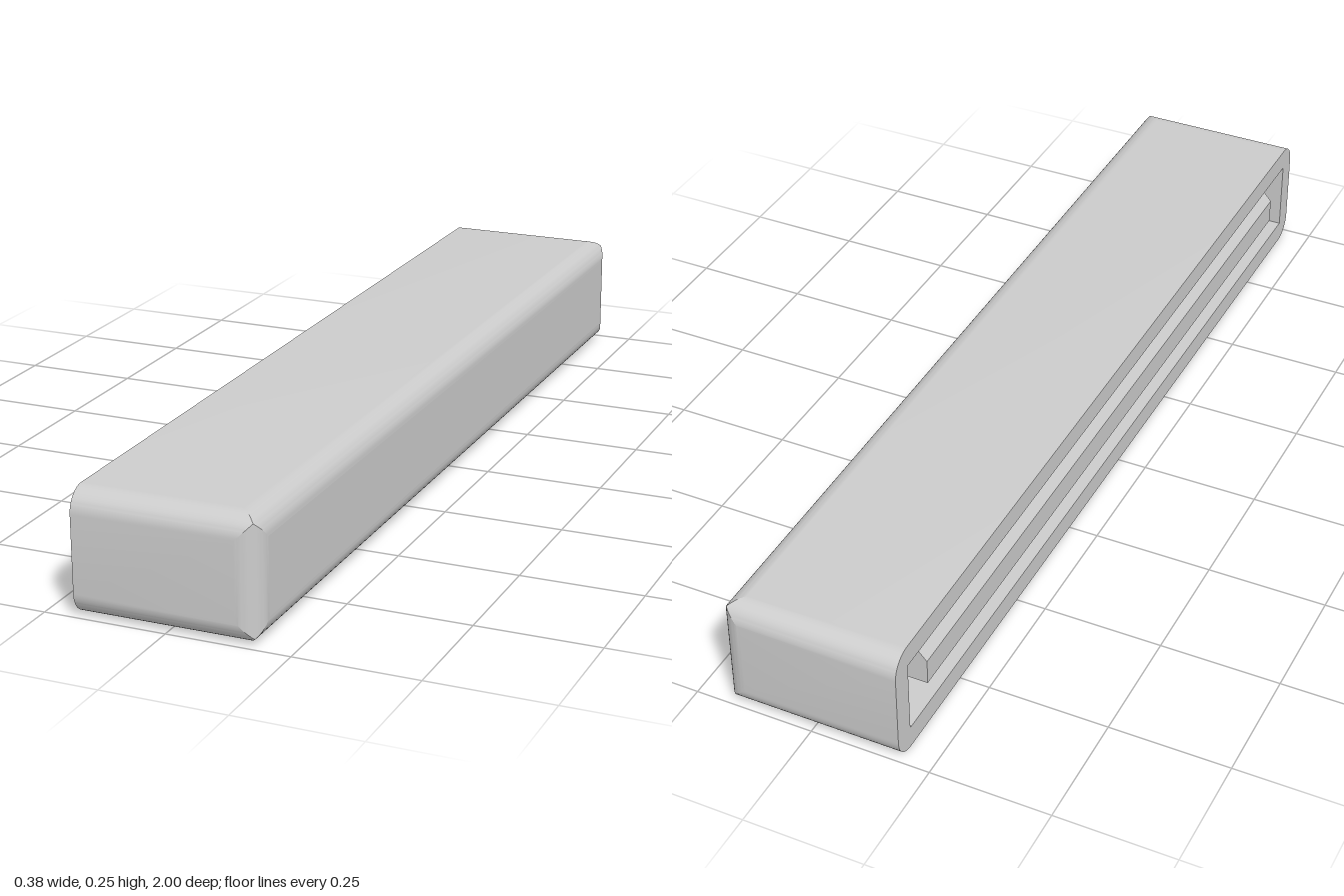
import * as THREE from 'three';
import { toCreasedNormals } from 'three/addons/utils/BufferGeometryUtils.js';

const HX = 0.1875, HY = 0.125, HZ = 1; // half sizes
const R = 0.047;                       // fillet radius, also the wall thickness
const N = 12;                          // segments per fillet

const material = new THREE.MeshStandardMaterial({ color: 0xcccccc });

// Rectangular loop at x; its corner arcs are clipped to reach w past the inner corners
function loop(x, w) {
  const points = [];
  [[1, 1], [-1, 1], [-1, -1], [1, -1]].forEach(([sy, sz], q) => {
    for (let j = 0; j <= N; j++) {
      const t = (q + j / N) * Math.PI / 2;
      points.push([
        x,
        HY + sy * (HY - R) + THREE.MathUtils.clamp(R * Math.cos(t), -w, w),
        sz * (HZ - R) + THREE.MathUtils.clamp(R * Math.sin(t), -w, w),
      ]);
    }
  });
  return points;
}

// Skin the loops; the quad diagonals follow the mitred corner creases
function loft(loops) {
  const pos = [];
  const count = loops[0].length;
  for (let i = 0; i < loops.length - 1; i++) {
    for (let j = 0; j < count; j++) {
      const k = (j + 1) % count;
      const a = loops[i][j], b = loops[i][k], c = loops[i + 1][k], d = loops[i + 1][j];
      if (j % (N + 1) < N / 2) pos.push(...a, ...b, ...c, ...a, ...c, ...d);
      else pos.push(...a, ...b, ...d, ...b, ...c, ...d);
    }
  }
  const geometry = new THREE.BufferGeometry();
  geometry.setAttribute('position', new THREE.Float32BufferAttribute(pos, 3));
  return toCreasedNormals(geometry, 0.25);
}

export function createModel() {
  const group = new THREE.Group();
  const add = (name, geometry) => {
    const mesh = new THREE.Mesh(geometry, material);
    mesh.name = name;
    group.add(mesh);
    return mesh;
  };

  // Hollow cover: cavity walls, rim, outer walls, then the rounded closed side
  const loops = [loop(HX - R, 0), loop(-HX, 0), loop(-HX, R)];
  for (let i = 0; i <= N; i++) {
    const a = (i / N) * Math.PI / 2;
    loops.push(loop(HX - R + R * Math.sin(a), R * Math.cos(a)));
  }
  add('coverShell', loft(loops));

  // Flat outer face and the back of the cavity
  for (const [name, x, turn] of [['outerFace', HX, 1], ['cavityBack', HX - R, -1]]) {
    const face = add(name, new THREE.PlaneGeometry(2 * (HZ - R), 2 * (HY - R)));
    face.rotation.y = turn * Math.PI / 2;
    face.position.set(x, HY, 0);
  }

  // Inner rail with a sloped top, running along the cavity
  const profile = new THREE.Shape([
    [-HX, 0.098], [HX - R, 0.098], [HX - R, 2 * HY - R], [-0.142, 2 * HY - R], [-HX, 0.152],
  ].map(([x, y]) => new THREE.Vector2(x, y)));
  const rail = new THREE.ExtrudeGeometry(profile, { depth: 1.76, bevelEnabled: false });
  rail.translate(0, 0, -0.88);
  add('innerRail', rail);

  return group;
}
